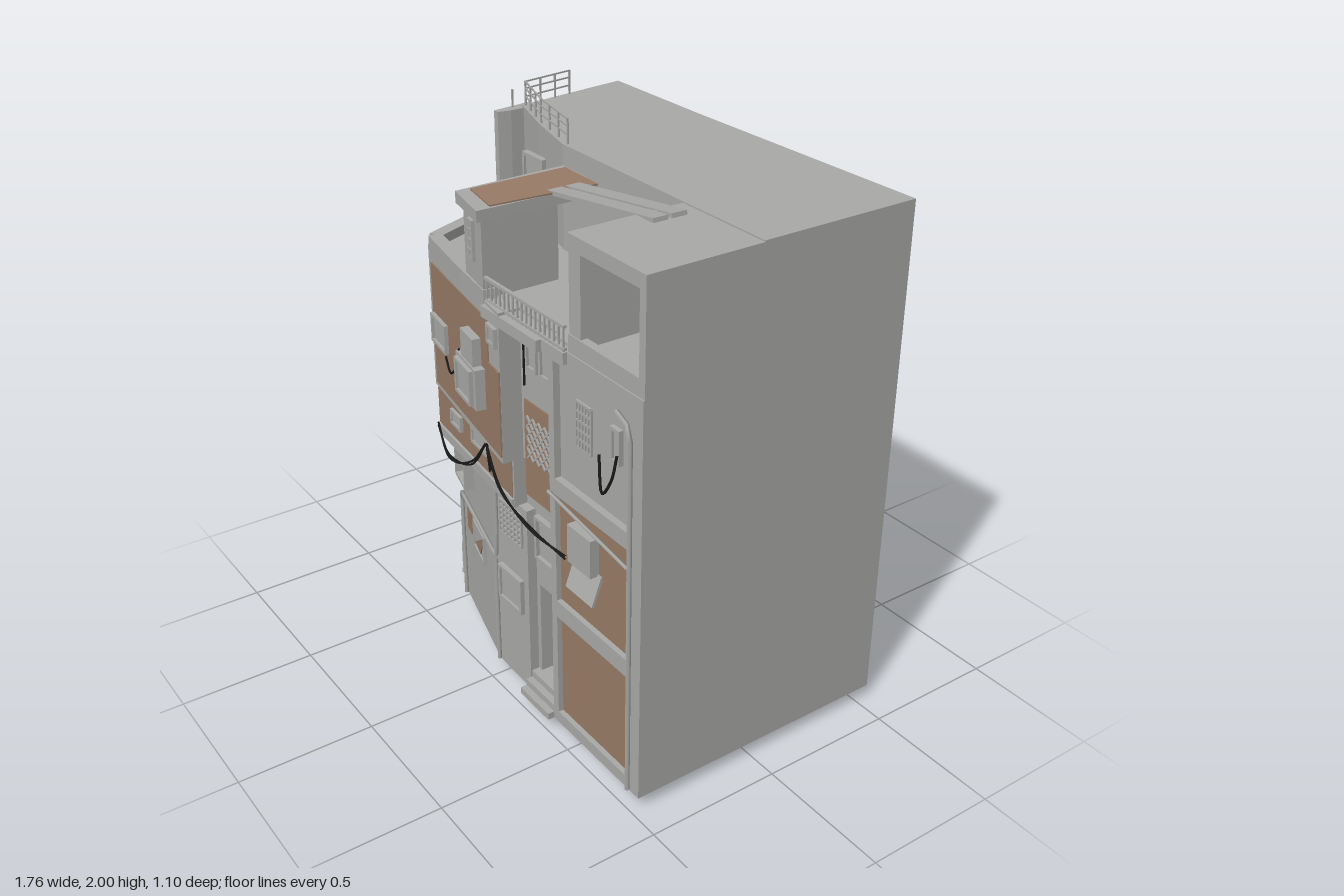
import * as THREE from 'three';

const material = (name, color) => {
  const m = new THREE.MeshStandardMaterial({ color });
  m.name = name;
  return m;
};

export function createModel() {
  const grey = material('concrete', 0xa8a8a6);
  const orange = material('brick', 0x977a66);
  const black = material('black cable', 0x1a1a1a);
  const root = new THREE.Group();
  root.name = 'building';

  const add = (name, geo, mat = grey, parent = root) => {
    const m = new THREE.Mesh(geo, mat);
    m.name = name;
    parent.add(m);
    return m;
  };
  const group = (name, x, z, turn) => {
    const g = new THREE.Group();
    g.name = name;
    g.position.set(x, 0, z);
    g.rotation.y = -turn;
    root.add(g);
    return g;
  };
  // box given by its extents
  const box = (name, x0, x1, y0, y1, z0, z1, mat = grey, parent = root) => {
    const m = add(name, new THREE.BoxGeometry(x1 - x0, y1 - y0, z1 - z0), mat, parent);
    m.position.set((x0 + x1) / 2, (y0 + y1) / 2, (z0 + z1) / 2);
    return m;
  };
  const outline = (pts) => new THREE.Shape(pts.map(([x, y]) => new THREE.Vector2(x, y)));
  const extrude = (pts, depth) => new THREE.ExtrudeGeometry(outline(pts), { depth, bevelEnabled: false });
  // vertical prism over a plan outline of [x, z] points
  const prism = (name, plan, y0, y1, mat = grey) => {
    const geo = extrude(plan.map(([x, z]) => [x, -z]), y1 - y0).rotateX(-Math.PI / 2);
    return add(name, geo.translate(0, y0, 0), mat);
  };
  // straight wall between two plan points
  const wall = (name, [ax, az], [bx, bz], y0, y1, t, mat = grey) => {
    const m = add(name, new THREE.BoxGeometry(Math.hypot(bx - ax, bz - az), y1 - y0, t), mat);
    m.position.set((ax + bx) / 2, (y0 + y1) / 2, (az + bz) / 2);
    m.rotation.y = -Math.atan2(bz - az, bx - ax);
  };
  const tube = (name, pts, r, mat = grey, parent = root, smooth = false) => {
    const v = pts.map((p) => new THREE.Vector3(...p));
    let path = new THREE.CatmullRomCurve3(v);
    if (!smooth) {
      path = new THREE.CurvePath();
      for (let i = 1; i < v.length; i++) path.add(new THREE.LineCurve3(v[i - 1], v[i]));
    }
    add(name, new THREE.TubeGeometry(path, 24, r, 5), mat, parent);
  };
  // window: raised frame around a thin pane, on a face at depth z
  const windowAt = (name, x0, x1, y0, y1, z, d = 0.015, parent = root) => {
    const t = 0.012;
    box(name + 'Pane', x0, x1, y0, y1, z - 0.01, z + 0.006, grey, parent);
    for (const x of [x0, x1 - t]) box(name + 'Jamb', x, x + t, y0, y1, z, z + d, grey, parent);
    for (const y of [y0, y1 - t]) box(name + 'Rail', x0, x1, y, y + t, z, z + d, grey, parent);
  };
  const lattice = (name, x0, x1, y0, y1, z, n) => {
    for (let i = 0; i <= n; i++) {
      const x = x0 + ((x1 - x0) * i) / n, y = y0 + ((y1 - y0) * i) / n;
      box(name + 'Upright', x - 0.004, x + 0.004, y0, y1, z, z + 0.008);
      box(name + 'Crossbar', x0, x1, y - 0.004, y + 0.004, z, z + 0.008);
    }
  };

  // storeys; the lowest has an entrance recess and an open passage at the back
  const lowerPlan = (recess) => [[0.88, -0.55], [0.88, 0.45], [0.38, 0.45], [0.38, 0.42], ...recess, [0.2, 0.42],
    [0.2, 0.455], [-0.02, 0.45], [-0.46, 0.33], [-0.6, 0], [0.46, 0.1], [0.46, -0.55]];
  prism('groundStorey', lowerPlan([[0.37, 0.42], [0.37, 0.28], [0.22, 0.28], [0.22, 0.42]]), 0.05, 0.5);
  prism('lowerStorey', lowerPlan([]), 0.5, 0.8);
  prism('middleBand', [[0.88, -0.55], [0.88, 0.45], [0.38, 0.45], [0.38, 0.42], [0.15, 0.42], [0.15, 0.47],
    [-0.48, 0.40], [-0.65, -0.06], [-0.655, -0.55]], 0.8, 0.98);
  prism('upperStorey', [[0.88, -0.55], [0.88, 0.45], [0.38, 0.45], [0.38, 0.43], [0.15, 0.43], [0.15, 0.51],
    [-0.17, 0.46], [-0.50, 0.40], [-0.685, -0.1], [-0.655, -0.55]], 0.98, 1.53);
  prism('terraceBase', [[0.88, -0.55], [0.88, 0.05], [-0.18, 0.04], [-0.42, -0.02], [-0.64, -0.09], [-0.655, -0.55]], 1.52, 1.57);
  prism('topStorey', [[0.88, -0.55], [0.88, 0.05], [-0.18, 0.04], [-0.42, -0.02], [-0.64, -0.09], [-0.70, -0.56],
    [-0.18, -0.55]], 1.57, 1.91);
  prism('cornerPier', [[-0.675, -0.14], [-0.62, -0.14], [-0.62, -0.03], [-0.63, 0.02], [-0.655, 0.02]], 1.5, 1.905);
  box('aerial', -0.655, -0.649, 1.9, 1.97, -0.06, -0.054);

  // passage: columns, beams, floor, steps and low wall
  for (const x of [-0.61, -0.02, 0.46]) {
    box('backColumn', x - 0.025, x + 0.025, 0, 0.82, -0.545, -0.485);
    box('passageBeam', x - 0.02, x + 0.02, 0.75, 0.8, -0.5, 0.05);
  }
  prism('passageLanding', [[0.46, 0.1], [0.46, -0.06], [0.16, -0.09], [-0.22, -0.14], [-0.52, -0.38], [-0.64, -0.3], [-0.6, 0]], 0.05, 0.18);
  prism('passageFloor', [[0.46, -0.53], [0.46, -0.05], [-0.22, -0.13], [-0.52, -0.38], [-0.7, -0.36], [-0.62, -0.53]], 0.09, 0.105);
  for (let i = 0; i < 5; i++) {
    const top = 0.125 + i * 0.019, z = -0.35 + i * 0.06;
    box('passageStep', 0.13, 0.46, top - 0.04, top, z, i === 4 ? 0.08 : z + 0.07);
  }
  wall('passageParapet', [0.12, -0.36], [-0.2, -0.24], 0.07, 0.2, 0.03);
  wall('passageParapet', [-0.2, -0.24], [-0.55, -0.38], 0.07, 0.2, 0.03);
  box('passageParapet', 0.1, 0.13, 0.07, 0.2, -0.37, -0.08);
  wall('passageBrick', [0.25, 0.074], [0.33, 0.083], 0.2, 0.5, 0.012, orange);

  // outside stair on the left, built along its own axis
  const stair = group('sideStair', -0.885, -0.34, Math.atan2(0.61, 0.27));
  add('stairParapet', extrude([[0, 0.05], [0.66, 0.05], [0.66, 0.17], [0.6, 0.2], [0.37, 0.36], [0.15, 0.36],
    [0.15, 0.23], [0, 0.13]], 0.025).translate(0, 0, -0.025), grey, stair);
  add('stairRamp', extrude([[0, 0.05], [0.38, 0.05], [0.38, 0.2], [0.16, 0.2], [0, 0.1]], 0.165).translate(0, 0, -0.19), grey, stair);
  for (let i = 0; i < 5; i++) box('stairStep', 0.38, 0.45 + i * 0.06, 0.05, 0.175 - i * 0.026, -0.17, -0.02, grey, stair);

  // terrace parapets, balcony and baluster rail
  const edge = [[-0.66, -0.06], [-0.48, 0.38], [-0.16, 0.44], [0.04, 0.47]];
  for (let i = 1; i < edge.length; i++) wall('terraceParapet', edge[i - 1], edge[i], 1.5, 1.565, 0.05);
  box('balconySlab', 0.04, 0.37, 1.48, 1.52, 0.4, 0.51);
  box('balconySlab', 0.37, 0.49, 1.48, 1.52, 0.4, 0.49);
  for (const y of [1.525, 1.6]) box('balconyRail', 0.03, 0.49, y, y + 0.01, 0.475, 0.487);
  for (let i = 0; i <= 17; i++) box('baluster', 0.036 + i * 0.026, 0.042 + i * 0.026, 1.52, 1.605, 0.478, 0.484);

  // left front, upper floor (face slightly turned)
  const upper = group('upperLeftFront', 0, 0.487, 0.165);
  box('brickPanel', -0.47, 0.06, 1.005, 1.475, -0.01, 0.004, orange, upper);
  box('brickPanel', 0.06, 0.15, 1.005, 1.32, -0.01, 0.004, orange, upper);
  windowAt('sideWindow', -0.46, -0.32, 1.18, 1.29, 0.004, 0.015, upper);
  box('windowBox', -0.15, 0.03, 1.13, 1.28, 0, 0.04, grey, upper);
  windowAt('boxWindow', -0.13, 0.01, 1.14, 1.27, 0.04, 0.015, upper);
  box('airUnit', -0.11, 0, 1.28, 1.38, 0, 0.035, grey, upper);
  windowAt('smallWindow', 0.07, 0.14, 1.4, 1.47, 0, 0.012, upper);
  tube('hangingCable', [[-0.31, 1.18, 0.02], [-0.24, 1.15, 0.03], [-0.18, 1.2, 0.03], [-0.14, 1.29, 0.03]], 0.004, black, upper, true);

  // stair hut on the terrace with planks to the roof
  prism('hutWall', [[-0.13, 0.2], [0.03, 0.2], [0.03, 0.49], [-0.13, 0.46]], 1.52, 1.8);
  prism('hutRoof', [[-0.18, 0.03], [0.04, 0.05], [0.03, 0.505], [-0.17, 0.465]], 1.795, 1.835);
  prism('hutRoofBrick', [[-0.15, 0.05], [0.05, 0.055], [0.02, 0.45], [-0.15, 0.42]], 1.834, 1.84, orange);
  windowAt('hutWindow', -0.07, -0.03, 1.64, 1.78, 0, 0.008, upper);
  for (let i = 1; i < 4; i++) box('hutWindowBar', -0.07, -0.03, 1.64 + i * 0.035, 1.645 + i * 0.035, 0, 0.01, grey, upper);
  for (const z of [0.125, 0.195]) {
    const p = box('plank', 0, 0.58, 1.865, 1.88, z - 0.028, z + 0.028);
    p.rotation.z = Math.atan2(0.08, 0.57);
  }
  windowAt('terraceDoor', -0.48, -0.35, 1.56, 1.8, 0.0);

  // covered balcony, top right
  box('loggiaRoof', 0.49, 0.88, 1.855, 1.905, 0.04, 0.47);
  box('loggiaSideWall', 0.85, 0.88, 1.5, 1.87, 0.04, 0.47);
  box('loggiaInnerWall', 0.49, 0.52, 1.5, 1.87, 0.04, 0.45);
  box('loggiaPost', 0.49, 0.55, 1.5, 1.87, 0.43, 0.465);
  box('loggiaSill', 0.49, 0.88, 1.5, 1.58, 0.44, 0.47);

  // roof railing
  const rail = [[-0.66, -0.31], [-0.63, -0.1], [-0.42, -0.03], [-0.17, 0.025]];
  for (let i = 1; i < rail.length; i++) {
    const [a, b] = [rail[i - 1], rail[i]];
    for (const y of [1.94, 1.97, 1.995]) wall('roofRail', a, b, y, y + 0.005, 0.005);
    for (let k = 0; k <= 3; k++) {
      const x = a[0] + ((b[0] - a[0]) * k) / 3, z = a[1] + ((b[1] - a[1]) * k) / 3;
      box('roofRailPost', x - 0.003, x + 0.003, 1.91, 2, z - 0.003, z + 0.003);
    }
  }

  // left front, middle band
  const band = group('middleLeftFront', 0, 0.451, 0.108);
  box('brickBand', -0.48, 0.14, 0.83, 0.975, -0.01, 0.005, orange, band);
  box('ledge', -0.47, 0.15, 0.795, 0.83, -0.01, 0.015, grey, band);
  windowAt('bandWindow', -0.35, -0.26, 0.89, 0.95, 0.005, 0.012, band);
  windowAt('bandWindow', -0.17, -0.04, 0.9, 0.97, 0.005, 0.012, band);

  // left front, lower floors (turned further back)
  const lower = group('lowerLeftFront', 0, 0.4555, 0.266);
  windowAt('lowWindow', -0.44, -0.3, 0.62, 0.8, 0.002, 0.035, lower);
  box('brickPatch', -0.415, -0.355, 0.39, 0.48, -0.01, 0.004, orange, lower);
  windowAt('groundWindow', -0.31, -0.16, 0.37, 0.49, 0, 0.012, lower);
  add('brickWedge', extrude([[-0.29, 0.4], [-0.165, 0.485], [-0.22, 0.385]], 0.004).translate(0, 0, 0.005), orange, lower);
  tube('drainPipe', [[-0.46, 0.06, 0.01], [-0.46, 0.52, 0.01], [0, 0.52, 0.01]], 0.008, grey, lower);
  tube('drainPipe', [[0, 0.52, 0.465], [0.01, 0.62, 0.465], [0.01, 0.8, 0.465]], 0.008);
  tube('drainPipe', [[-0.01, 0.06, 0.46], [-0.01, 0.5, 0.46]], 0.008);
  windowAt('frontWindow', 0.02, 0.17, 0.36, 0.5, 0.456);
  lattice('vent', 0.03, 0.17, 0.64, 0.77, 0.455, 6);

  // window on the slanted left wall
  wall('leftWindowBrick', [-0.672, -0.065], [-0.603, 0.121], 1.18, 1.28, 0.012, orange);
  wall('leftWindowPane', [-0.603, 0.121], [-0.539, 0.294], 1.18, 1.28, 0.016);
  for (let i = 0; i < 5; i++) wall('leftWindowBar', [-0.603, 0.121], [-0.539, 0.294], 1.185 + i * 0.021, 1.19 + i * 0.021, 0.026);

  // centre bay, with a diagonal grille over the brick
  box('centreBrick', 0.17, 0.38, 0.85, 1.215, 0.41, 0.435, orange);
  for (let i = 0; i < 4; i++) for (let j = 0; j < 4; j++) for (const turn of [-0.85, 0.85]) {
    const x = 0.208 + i * 0.035, y = 1.02 + j * 0.04;
    box('centreGrilleBar', x - 0.0265, x + 0.0265, y - 0.003, y + 0.003, 0.434, 0.441).rotation.z = turn;
  }
  windowAt('centreWindow', 0.2, 0.265, 1.34, 1.47, 0.432);
  windowAt('centreWindow', 0.28, 0.355, 1.34, 1.47, 0.432);
  windowAt('centreWindow', 0.22, 0.37, 0.62, 0.79, 0.42, 0.02);
  windowAt('entranceDoor', 0.24, 0.35, 0.12, 0.47, 0.28);
  for (let i = 0; i < 3; i++) box('entranceStep', 0.2, 0.38, 0.05, 0.13 - i * 0.027, 0.28, 0.45 + i * 0.025);

  // right front: frame, infill panels and fittings
  box('frameColumn', 0.38, 0.41, 0.05, 1.52, 0.44, 0.475);
  box('frameColumn', 0.81, 0.88, 0.05, 1.52, 0.44, 0.475);
  for (const [y0, y1] of [[0.05, 0.095], [0.5, 0.565], [0.98, 1.04], [1.46, 1.52]]) box('frameBeam', 0.38, 0.88, y0, y1, 0.44, 0.475);
  box('brickInfill', 0.41, 0.81, 0.095, 0.5, 0.44, 0.456, orange);
  box('brickInfill', 0.41, 0.81, 0.565, 0.98, 0.44, 0.456, orange);
  lattice('rightGrille', 0.51, 0.59, 1.2, 1.36, 0.452, 5);
  windowAt('rightWindow', 0.7, 0.75, 1.24, 1.36, 0.452);
  box('awningBox', 0.5, 0.63, 0.78, 0.92, 0.45, 0.49);
  box('awning', 0.5, 0.65, 0.68, 0.79, 0.47, 0.48).rotation.x = -0.35;
  tube('downPipe', [[0.83, 0.06, 0.485], [0.83, 1.41, 0.485], [0.76, 1.44, 0.485]], 0.009);
  tube('slopingPipe', [[0.38, 0.98, 0.482], [0.82, 0.92, 0.482]], 0.007);

  // sagging cables
  for (const d of [0, 0.012]) {
    tube('streetCable', [[0.04, 1.01, 0.51], [-0.08, 0.88 - d, 0.5], [-0.28, 0.795 + d, 0.48], [-0.46, 0.84 - d, 0.42]], 0.004, black, root, true);
    tube('streetCable', [[0.04, 1.01, 0.51], [0.14, 0.89 - d, 0.52], [0.3, 0.805 + d, 0.51], [0.49, 0.79 - d, 0.49]], 0.004, black, root, true);
  }
  tube('cableDrop', [[0.045, 1.01, 0.51], [0.045, 0.9, 0.5]], 0.005, black);
  tube('cableDrop', [[0.2, 1.46, 0.45], [0.2, 1.28, 0.45]], 0.004, black);
  tube('windowCable', [[0.65, 1.24, 0.47], [0.68, 1.12, 0.48], [0.73, 1.19, 0.48], [0.745, 1.28, 0.47]], 0.005, black, root, true);
  return root;
}
